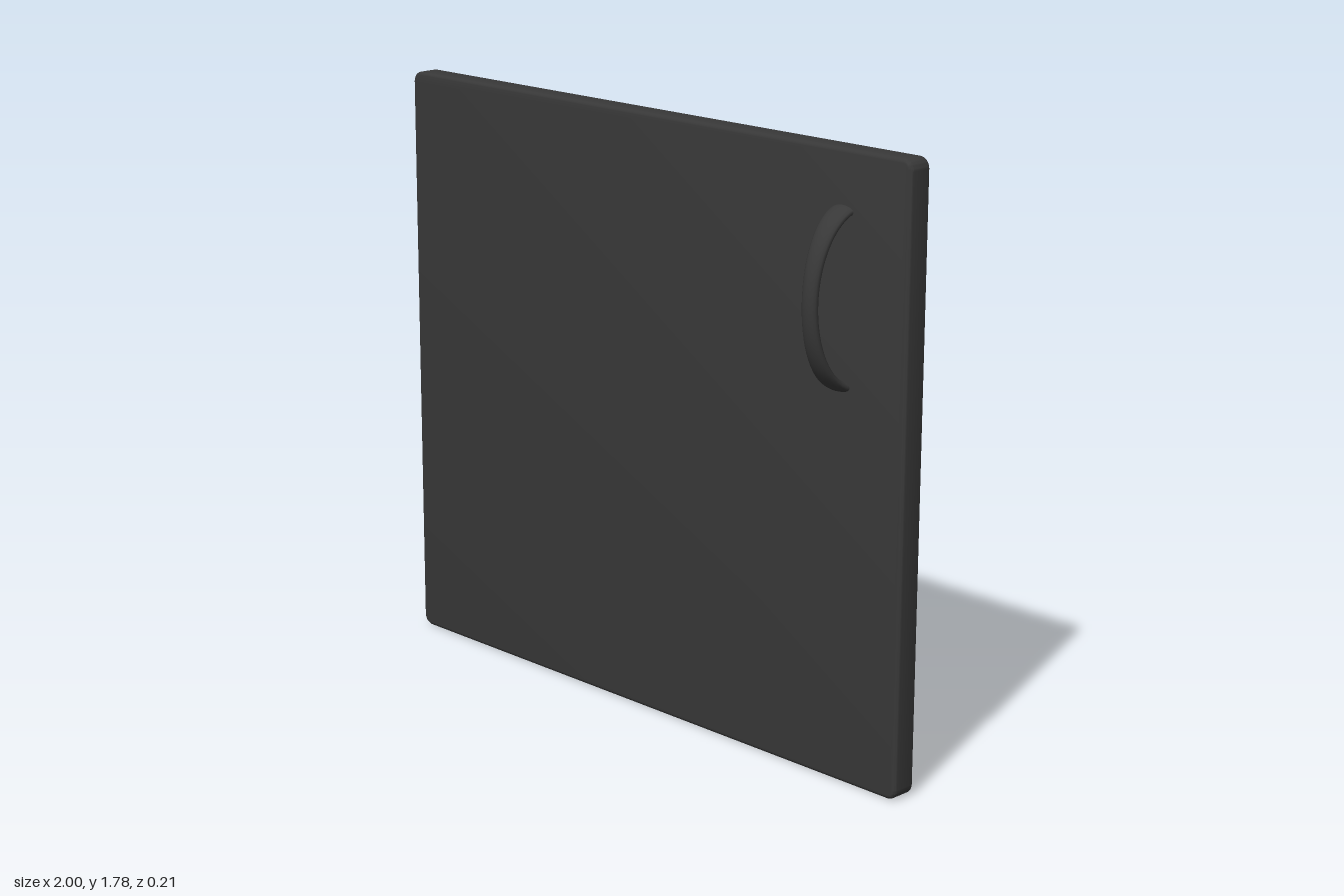
import * as THREE from 'three';
import { mergeVertices, toCreasedNormals } from 'three/addons/utils/BufferGeometryUtils.js';

const WIDTH = 2, HEIGHT = 1.785, BACK = -0.107, FRONT = -0.03;

// Upright board with rounded corners and softened edges
function makePanel(material) {
  const bevel = 0.01, r = 0.022;
  const x = WIDTH / 2 - bevel, y0 = bevel, y1 = HEIGHT - bevel;
  const shape = new THREE.Shape();
  shape.absarc(x - r, y0 + r, r, -Math.PI / 2, 0);
  shape.absarc(x - r, y1 - r, r, 0, Math.PI / 2);
  shape.absarc(-x + r, y1 - r, r, Math.PI / 2, Math.PI);
  shape.absarc(-x + r, y0 + r, r, Math.PI, Math.PI * 1.5);
  shape.closePath();
  const geometry = new THREE.ExtrudeGeometry(shape, {
    depth: FRONT - BACK - 2 * bevel,
    bevelEnabled: true,
    bevelSize: bevel,
    bevelThickness: bevel,
    bevelSegments: 3,
    curveSegments: 6,
  });
  geometry.translate(0, 0, BACK + bevel);
  const panel = new THREE.Mesh(toCreasedNormals(geometry, 0.7), material);
  panel.name = 'doorPanel';
  return panel;
}

// Bowed pull handle, flaring wider towards both ends
function makeHandle(material) {
  const halfLength = 0.245, reach = 0.151, thickness = 0.016;
  const points = [];
  for (let i = 0; i <= 16; i++) {
    const t = (i / 16) * Math.PI;
    points.push(new THREE.Vector3(0, halfLength * Math.cos(t), reach * Math.sin(t)));
  }
  const tube = new THREE.TubeGeometry(new THREE.CatmullRomCurve3(points), 32, thickness, 16);
  const pos = tube.attributes.position;
  for (let i = 0; i < pos.count; i++) {
    const end = Math.min(1, Math.abs(pos.getY(i)) / halfLength);
    const halfWidth = 0.026 + 0.013 * end * end;
    pos.setX(i, pos.getX(i) * halfWidth / thickness);
  }
  tube.deleteAttribute('uv');
  tube.deleteAttribute('normal');
  const geometry = mergeVertices(tube, 1e-5);
  geometry.computeVertexNormals();
  const handle = new THREE.Mesh(geometry, material);
  handle.name = 'handle';
  handle.position.set(0.765, 1.378, -0.06);
  return handle;
}

export function createModel() {
  const material = new THREE.MeshStandardMaterial({ color: 0x383838 });
  const model = new THREE.Group();
  model.name = 'cabinetDoor';
  model.add(makePanel(material), makeHandle(material));
  return model;
}
